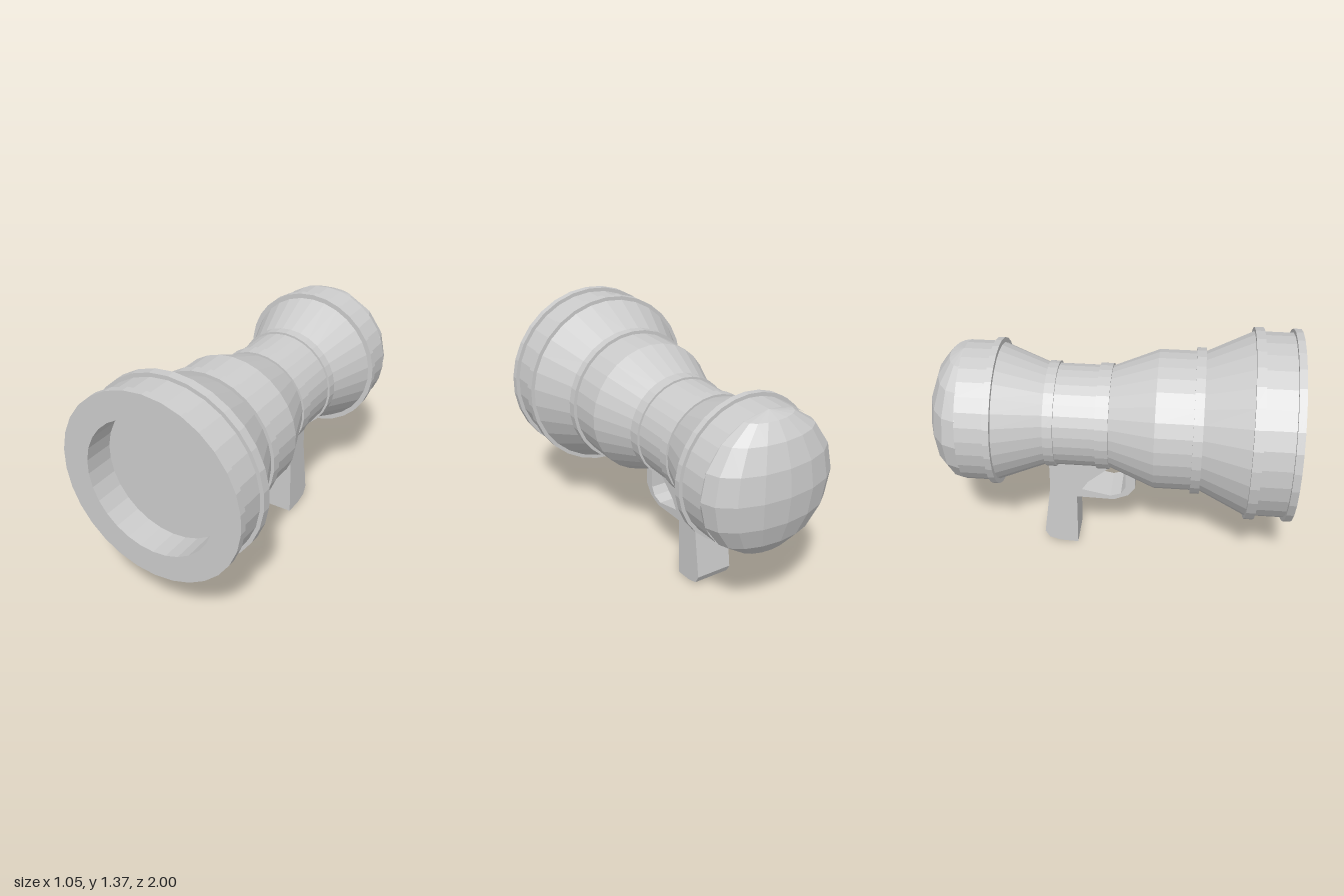
import * as THREE from 'three';

const AXIS_Y = 0.845;
const SIDES = 30;

export function createModel() {
  const group = new THREE.Group();
  const material = new THREE.MeshStandardMaterial({ color: 0xcccccc, flatShading: true });

  const add = (name, geometry, y = 0, z = 0) => {
    const mesh = new THREE.Mesh(geometry, material);
    mesh.name = name;
    mesh.position.set(0, y, z);
    group.add(mesh);
    return mesh;
  };

  // Turns a [z, radius] profile around the barrel axis (back to front)
  const turned = (profile) =>
    new THREE.LatheGeometry(profile.map(([z, r]) => new THREE.Vector2(r, z)), SIDES).rotateX(Math.PI / 2);

  // Barrel shell, ending in the recessed muzzle
  add('barrel', turned([
    [-0.8, 0.39], [-0.63, 0.39], [-0.35, 0.283], [0, 0.283], [0.25, 0.385],
    [0.5, 0.385], [0.75, 0.505], [0.98, 0.505], [0.98, 0.527], [1, 0.527],
    [1, 0.377], [0.83, 0.377], [0.83, 0],
  ]), AXIS_Y);

  // Raised bands: [back z, front z, radius]
  const bands = [
    [0.96, 0.99, 0.527], [0.75, 0.8, 0.527], [0.45, 0.5, 0.404],
    [-0.07, 0, 0.295], [-0.35, -0.295, 0.295], [-0.645, -0.61, 0.41],
  ];
  bands.forEach(([z0, z1, r], i) =>
    add(`band${i + 1}`, turned([[z0, r - 0.15], [z0, r], [z1, r], [z1, r - 0.03]]), AXIS_Y));

  // Rounded rear cap: a flattened sphere
  add('rearDome', new THREE.SphereGeometry(0.39, 16, 8).scale(1, 1, 0.2 / 0.39), AXIS_Y, -0.8);

  // Grip and trigger guard share one side outline, given as [z, y]
  const outline = [
    [-0.35, 0.62], [-0.35, 0.4], [-0.39, 0.07], [-0.365, 0.025], [-0.3, 0.005], [-0.195, 0],
    [-0.195, 0.345], [0.02, 0.34], [0.1, 0.375], [0.14, 0.43], [0.14, 0.58],
    [0.085, 0.58], [0.085, 0.43], [0.06, 0.385], [0, 0.365], [-0.165, 0.4],
    [-0.13, 0.455], [-0.05, 0.525], [0, 0.57], [0, 0.62],
  ];
  const shape = new THREE.Shape(outline.map(([z, y]) => new THREE.Vector2(z, y)));
  const width = 0.216;
  add('gripAndGuard', new THREE.ExtrudeGeometry(shape, { depth: width, bevelEnabled: false })
    .translate(0, 0, -width / 2).rotateY(-Math.PI / 2));

  return group;
}
